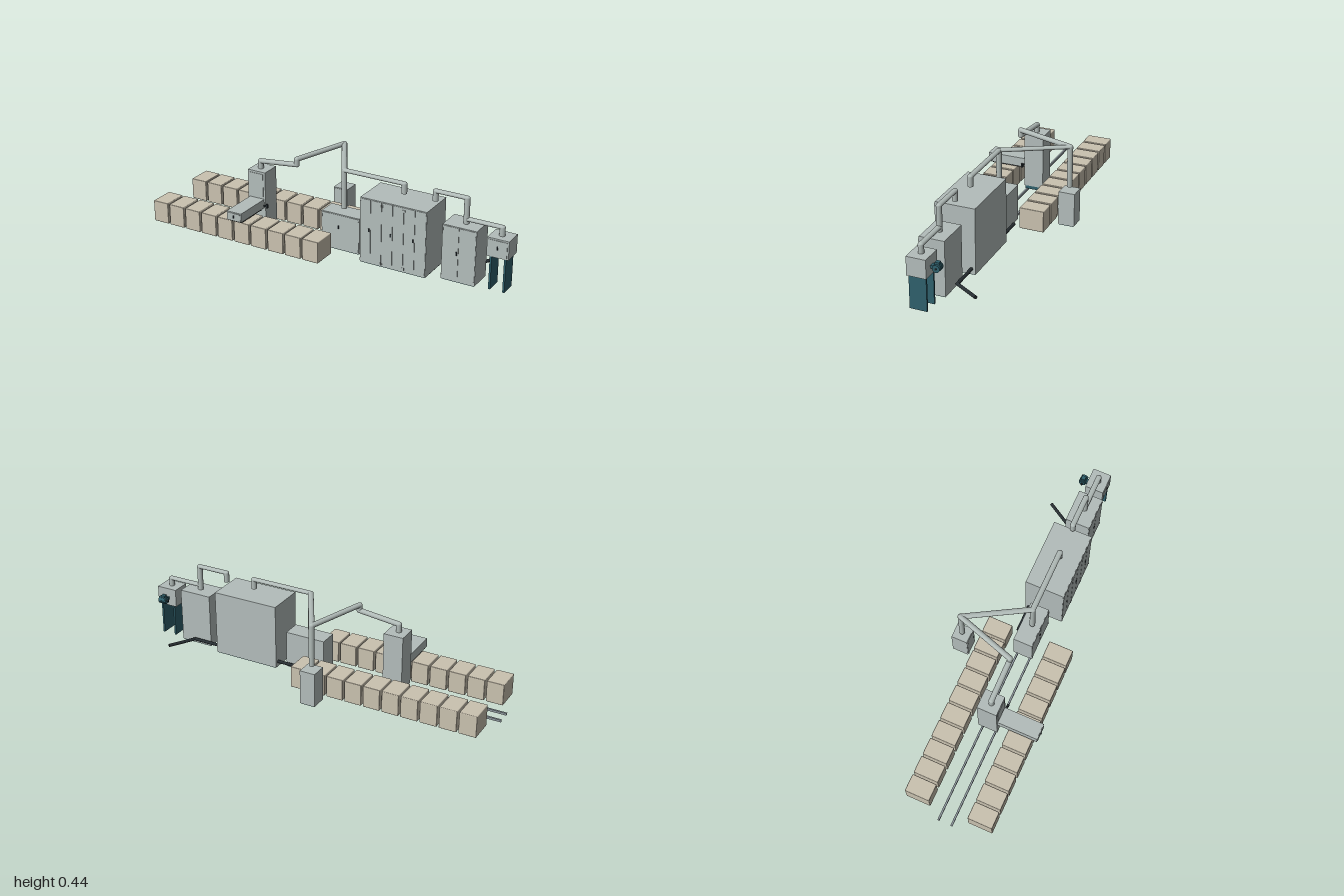
import * as THREE from 'three';
import { RoundedBoxGeometry } from 'three/addons/geometries/RoundedBoxGeometry.js';

const mat = (name, color) => new THREE.MeshStandardMaterial({ name, color });

export function createModel() {
  const grey = mat('machineGrey', 0xb3bdbb);
  const ductGrey = mat('ductGrey', 0xb0bab7);
  const teal = mat('darkTeal', 0x2f606c);
  const black = mat('charcoal', 0x262d31);
  const straw = mat('baleBeige', 0xcac2b0);
  const steel = mat('railSteel', 0x8c969c);

  const root = new THREE.Group();
  const group = (name) => {
    const g = new THREE.Group();
    g.name = name;
    root.add(g);
    return g;
  };
  const add = (parent, name, geo, material, x = 0, y = 0, z = 0) => {
    const m = new THREE.Mesh(geo, material);
    m.name = name;
    m.position.set(x, y, z);
    parent.add(m);
    return m;
  };
  // box given by its limits on each axis
  const box = (parent, name, material, [x0, x1], [y0, y1], [z0, z1]) =>
    add(parent, name, new THREE.BoxGeometry(x1 - x0, y1 - y0, z1 - z0), material,
      (x0 + x1) / 2, (y0 + y1) / 2, (z0 + z1) / 2);

  // cabinet with a plinth, thin front doors, handles and hinges
  function cabinet(name, [x0, x1], h, [z0, z1], doors, handleY) {
    const g = group(name);
    box(g, 'body', grey, [x0, x1], [0.004, h], [z0, z1 - 0.003]);
    box(g, 'plinth', teal, [x0 + 0.003, x1 - 0.003], [0, 0.006], [z0 + 0.003, z1 - 0.006]);
    const w = (x1 - x0) / doors;
    for (let i = 0; i < doors; i++) {
      const a = x0 + i * w + 0.0015, b = a + w - 0.003;
      box(g, 'door', grey, [a, b], [0.01, h - 0.004], [z1 - 0.003, z1]);
      const left = i % 2 === 0;
      const hx = left ? b - 0.008 : a + 0.008;
      if (left || doors === 1)
        box(g, 'handle', black, [hx - 0.003, hx + 0.003], [handleY - 0.009, handleY + 0.009], [z1, z1 + 0.004]);
      const gx = left ? a + 0.003 : b - 0.003;
      for (const y of [0.022, h - 0.022])
        box(g, 'hinge', grey, [gx - 0.002, gx + 0.002], [y - 0.007, y + 0.007], [z1, z1 + 0.003]);
    }
    return g;
  }

  // duct made of straight runs with rounded elbows; level runs are slightly flat
  function duct(name, points, r = 0.0145, flat = 0.0105, material = ductGrey) {
    const g = group(name);
    const v = points.map((p) => new THREE.Vector3(...p));
    const tube = new THREE.CylinderGeometry(1, 1, 1, 20).rotateX(Math.PI / 2);
    for (let i = 0; i < v.length - 1; i++) {
      const mid = v[i].clone().add(v[i + 1]).multiplyScalar(0.5);
      const dir = v[i + 1].clone().sub(v[i]);
      const upright = Math.abs(dir.y) > 0.5 * dir.length();
      const m = add(g, 'run', tube, material, mid.x, mid.y, mid.z);
      m.lookAt(v[i + 1]);
      m.scale.set(r, upright ? r : flat, dir.length());
      if (i > 0)
        add(g, 'elbow', new THREE.SphereGeometry(1, 20, 12), material, v[i].x, v[i].y, v[i].z).scale.set(r, flat, r);
    }
    return g;
  }

  // two rows of bales
  const bales = group('bales');
  const baleGeo = new RoundedBoxGeometry(0.092, 0.117, 0.133, 2, 0.004);
  for (const z of [0.2165, -0.1265])
    for (let i = 0; i < 10; i++) add(bales, 'bale', baleGeo, straw, -0.905 + i * 0.1027, 0.0615, z);

  // floor rails
  const rails = group('rails');
  for (const z of [0.008, 0.08]) box(rails, 'rail', steel, [-1, 0], [0, 0.012], [z - 0.005, z + 0.005]);

  // travelling bale opener: carriage, tower and arm with teeth
  const opener = group('baleOpener');
  box(opener, 'carriage', teal, [-0.465, -0.37], [0.01, 0.035], [-0.01, 0.09]);
  box(opener, 'tower', grey, [-0.47, -0.365], [0.03, 0.333], [-0.013, 0.093]);
  box(opener, 'towerDoor', grey, [-0.458, -0.377], [0.195, 0.322], [0.093, 0.096]);
  box(opener, 'arm', grey, [-0.46, -0.373], [0.135, 0.183], [0.093, 0.308]);
  box(opener, 'armCover', grey, [-0.455, -0.378], [0.14, 0.178], [0.308, 0.311]);
  box(opener, 'armHandle', black, [-0.42, -0.413], [0.152, 0.168], [0.311, 0.315]);
  box(opener, 'controlArm', black, [-0.372, -0.35], [0.146, 0.153], [0.097, 0.104]);
  box(opener, 'controlBox', black, [-0.356, -0.344], [0.142, 0.162], [0.096, 0.106]);
  const tooth = new THREE.CylinderGeometry(0.01, 0.01, 0.078, 8).rotateZ(Math.PI / 2);
  for (let i = 0; i < 19; i++) {
    const z = 0.115 + i * 0.0098;
    box(opener, 'tooth', black, [-0.455, -0.378], [0.127, 0.135], [z, z + 0.005]);
  }
  box(opener, 'toothedRoller', black, [-0.455, -0.378], [0.131, 0.136], [0.113, 0.297]);

  // row of processing cabinets
  cabinet('fanCabinet', [-0.14, -0.057], 0.187, [-0.312, -0.223], 1, 0.098);
  cabinet('feederCabinet', [-0.027, 0.193], 0.2, [-0.013, 0.091], 2, 0.13);
  cabinet('mainCabinet', [0.23, 0.595], 0.354, [-0.06, 0.151], 6, 0.187);
  cabinet('mixerCabinet', [0.66, 0.84], 0.295, [-0.021, 0.112], 2, 0.156);

  // raised end unit on two panel legs
  const end = group('endUnit');
  box(end, 'housing', grey, [0.887, 1], [0.177, 0.275], [-0.006, 0.094]);
  box(end, 'housingDoor', grey, [0.895, 0.992], [0.185, 0.267], [0.094, 0.097]);
  box(end, 'housingHandle', black, [0.94, 0.946], [0.22, 0.238], [0.097, 0.101]);
  for (const x of [0.908, 0.982]) box(end, 'panelLeg', teal, [x - 0.005, x + 0.005], [0, 0.177], [0.001, 0.09]);

  // electric motor behind the end unit
  const motor = group('motor');
  const cyl = (name, r, x0, x1, material, sides = 20) =>
    add(motor, name, new THREE.CylinderGeometry(r, r, x1 - x0, sides).rotateZ(Math.PI / 2), material, (x0 + x1) / 2, 0.22, -0.038);
  cyl('motorBody', 0.017, 0.922, 0.96, teal);
  cyl('motorFlange', 0.02, 0.926, 0.931, teal);
  cyl('motorCap', 0.019, 0.956, 0.966, teal);
  cyl('motorShaft', 0.005, 0.912, 0.97, black, 12);
  for (let i = 0; i < 12; i++) {
    const a = (i / 12) * Math.PI * 2;
    const fin = add(motor, 'coolingFin', new THREE.BoxGeometry(0.026, 0.005, 0.003), teal,
      0.943, 0.22 + Math.cos(a) * 0.0175, -0.038 + Math.sin(a) * 0.0175);
    fin.rotation.x = a;
  }
  box(motor, 'terminalBox', teal, [0.932, 0.954], [0.235, 0.248], [-0.049, -0.027]);
  box(motor, 'motorMount', teal, [0.93, 0.956], [0.212, 0.228], [-0.025, -0.005]);

  // air ducts
  const z = 0.045, top = 0.427;
  duct('openerDuct', [[-0.42, 0.33, z], [-0.42, 0.373, z], [-0.2, 0.397, z], [-0.2, top, z], [-0.1, top, -0.268], [-0.1, 0.207, -0.268]], 0.0145, 0.013);
  duct('feederDuct', [[-0.1, top, -0.268], [0.08, top, z], [0.08, 0.22, z]]);
  duct('mainDuct', [[0.08, top, z], [0.418, top, z], [0.418, 0.376, z]]);
  duct('mixerDuct', [[0.588, 0.376, z], [0.588, top, z], [0.755, top, z], [0.755, 0.295, z]]);
  duct('endDuct', [[0.755, 0.318, z], [0.942, 0.318, z], [0.942, 0.274, z]]);

  // low waste pipe behind the cabinets
  duct('wastePipe', [[0.083, 0.031, -0.038], [0.75, 0.031, -0.038], [0.83, 0.031, -0.17]], 0.0085, 0.0085, black);

  return root;
}
